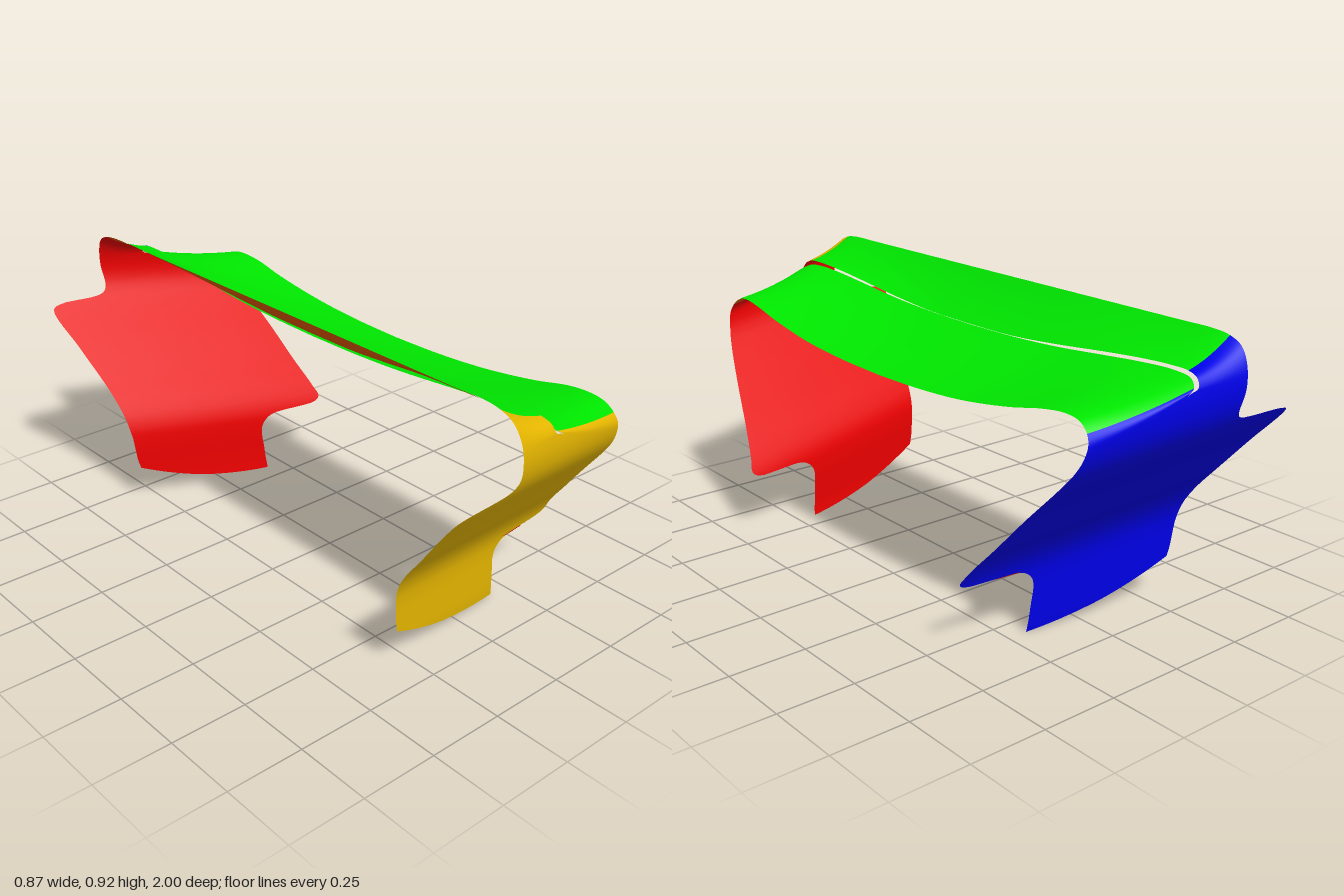
import * as THREE from 'three';
import { mergeGeometries, mergeVertices } from 'three/addons/utils/BufferGeometryUtils.js';

const LAST = 22, JOIN = 9, FLAP_END = 6, MAIN_END = 7;

// S-shaped end plate sheet: depth by height, skewed and swept along x
const plateProfile = new THREE.CubicInterpolant(
  [0, 0.05, 0.1, 0.2, 0.24, 0.28, 0.33, 0.4, 0.51, 0.62, 0.66, 0.7, 0.75, 0.8, 0.85],
  [0.6, 0.606, 0.609, 0.615, 0.622, 0.638, 0.67, 0.727, 0.815, 0.906, 0.935, 0.954, 0.963, 0.959, 0.945], 1);
const plateZ = (x, y) => plateProfile.evaluate(y + 0.13 * x)[0] - 0.17 * x;

// Edge paths from mid-span (z = 0), round the corner and down the end plate;
// points with only x and y lie on the plate sheet
const curve = (pts) => new THREE.CatmullRomCurve3(
  pts.map(([x, y, z = plateZ(x, y)]) => new THREE.Vector3(x, y, z)));

const plateMiddle = [
  [-0.02, 0.787], [-0.02, 0.72], [-0.02, 0.68], [-0.035, 0.655], [-0.045, 0.625], [-0.02, 0.5],
  [0, 0.37], [0.01, 0.29], [0.01, 0.25], [0, 0.225], [-0.03, 0.21], [-0.06, 0.18],
  [-0.07, 0.1], [-0.08, 0.043],
];
const backEdge = curve([
  [-0.23, 0.92, 0], [-0.23, 0.92, 0.2], [-0.23, 0.92, 0.4], [-0.23, 0.92, 0.6], [-0.23, 0.92, 0.75],
  [-0.23, 0.92, 0.86], [-0.23, 0.912, 0.92], [-0.228, 0.89, 0.965], [-0.222, 0.84, 0.992],
  [-0.217, 0.78], [-0.212, 0.715], [-0.232, 0.689], [-0.4, 0.684], [-0.432, 0.672], [-0.4, 0.55],
  [-0.365, 0.43], [-0.348, 0.34], [-0.34, 0.28], [-0.335, 0.25], [-0.333, 0.23], [-0.33, 0.2],
  [-0.325, 0.165], [-0.317, 0.135],
]);
const slotUpper = curve([
  [-0.063, 0.787, 0], [-0.063, 0.79, 0.2], [-0.063, 0.805, 0.4], [-0.063, 0.826, 0.6],
  [-0.065, 0.839, 0.75], [-0.066, 0.844, 0.86], [-0.066, 0.842, 0.92], [-0.063, 0.83, 0.955],
  [-0.055, 0.805, 0.969], ...plateMiddle,
]);
const slotLower = curve([
  [-0.072, 0.782, 0], [-0.072, 0.785, 0.2], [-0.072, 0.795, 0.4], [-0.072, 0.813, 0.6],
  [-0.072, 0.826, 0.75], [-0.07, 0.831, 0.86], [-0.066, 0.824, 0.93], [-0.045, 0.806, 0.962],
  [-0.03, 0.797, 0.966], ...plateMiddle,
]);
const frontEdge = curve([
  [0.29, 0.68, 0], [0.29, 0.685, 0.2], [0.29, 0.7, 0.4], [0.287, 0.73, 0.6], [0.285, 0.758, 0.73],
  [0.28, 0.766, 0.81], [0.28, 0.758, 0.865], [0.284, 0.733, 0.898], [0.292, 0.7, 0.91],
  [0.297, 0.675], [0.303, 0.65], [0.309, 0.63], [0.315, 0.61], [0.325, 0.58], [0.36, 0.47],
  [0.39, 0.36], [0.42, 0.265], [0.431, 0.225], [0.41, 0.21], [0.21, 0.205], [0.172, 0.17],
  [0.175, 0.08], [0.183, 0],
]);

const edgePoint = (edge, a) =>
  (edge === slotUpper && a >= JOIN ? slotLower : edge).getPoint(a / LAST);

// Surface between two edges; negative t is the mirrored half
function strip(edgeA, edgeB, t0, t1, sag) {
  const { smoothstep, lerp } = THREE.MathUtils;
  const rows = Math.round((t1 - t0) * 6), cols = 12;
  const positions = [], index = [];
  for (let i = 0; i <= rows; i++) {
    const t = t0 + ((t1 - t0) * i) / rows, along = Math.abs(t);
    const a = edgePoint(edgeA, along), b = edgePoint(edgeB, along);
    const onPlate = smoothstep(along, MAIN_END, JOIN);
    // hollow across the span, rounded at the foot
    const dip = sag * (1 - smoothstep(along, 6, JOIN)) + 0.006 * smoothstep(along, 19, LAST);
    for (let j = 0; j <= cols; j++) {
      const v = j / cols;
      const p = a.clone().lerp(b, v);
      p.y -= dip * 4 * v * (1 - v);
      p.z = lerp(p.z, plateZ(p.x, p.y), onPlate);
      positions.push(p.x, Math.max(p.y, 0), t < 0 ? -p.z : p.z);
      if (i < rows && j < cols) {
        const k = i * (cols + 1) + j, n = k + cols + 1;
        index.push(k, n, k + 1, k + 1, n, n + 1);
      }
    }
  }
  const g = new THREE.BufferGeometry();
  g.setAttribute('position', new THREE.Float32BufferAttribute(positions, 3));
  g.setIndex(index);
  return g;
}

// Inner skin: the outer skin moved in by a hair and turned over
function innerSkin(outer) {
  const g = outer.clone();
  const p = g.attributes.position, n = g.attributes.normal, idx = g.index;
  for (let i = 0; i < p.count; i++) {
    p.setXYZ(i, p.getX(i) - n.getX(i) * 0.002, p.getY(i) - n.getY(i) * 0.002, p.getZ(i) - n.getZ(i) * 0.002);
    n.setXYZ(i, -n.getX(i), -n.getY(i), -n.getZ(i));
  }
  for (let i = 0; i < idx.count; i += 3) {
    const b = idx.getX(i + 1);
    idx.setX(i + 1, idx.getX(i + 2));
    idx.setX(i + 2, b);
  }
  return g;
}

export function createModel() {
  const model = new THREE.Group();
  model.name = 'wing';
  const paint = (name, color) => {
    const m = new THREE.MeshStandardMaterial({ color });
    m.name = name;
    return m;
  };
  const green = paint('green', 0x00e700), orange = paint('burntOrange', 0xdc5500);
  const yellow = paint('yellow', 0xe7b700), blue = paint('blue', 0x0000e7), red = paint('red', 0xe70000);

  function addPart(name, geometry, outerPaint, innerPaint) {
    geometry.computeVertexNormals();
    const part = new THREE.Group();
    part.name = name;
    const outer = new THREE.Mesh(geometry, outerPaint);
    outer.name = name + 'Outer';
    const inner = new THREE.Mesh(innerSkin(geometry), innerPaint);
    inner.name = name + 'Inner';
    part.add(outer, inner);
    model.add(part);
  }

  // Span elements
  addPart('rearFlap', strip(backEdge, slotUpper, -FLAP_END, FLAP_END, 0.009), green, orange);
  addPart('mainPlane', strip(slotLower, frontEdge, -MAIN_END, MAIN_END, 0.01), green, orange);

  // End plates, each welded from the two sides of the slot
  const plate = (side) => {
    const range = (start) => (side > 0 ? [start, LAST] : [-LAST, -start]);
    return mergeVertices(mergeGeometries([
      strip(backEdge, slotUpper, ...range(FLAP_END), 0.009),
      strip(slotLower, frontEdge, ...range(MAIN_END), 0.01),
    ]));
  };
  addPart('frontEndPlate', plate(1), yellow, red);
  addPart('backEndPlate', plate(-1), blue, red);
  return model;
}
